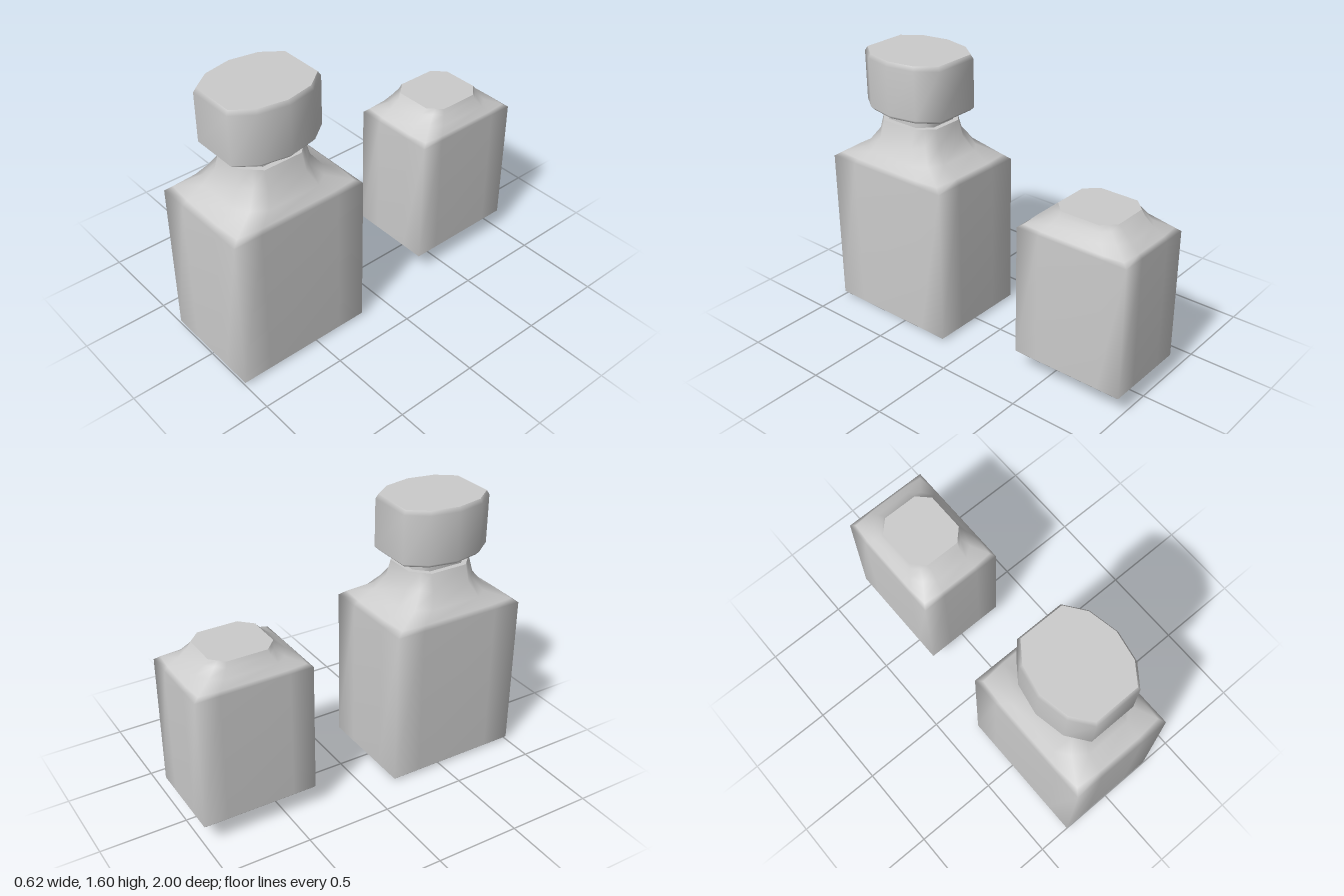
import * as THREE from 'three';

const material = new THREE.MeshStandardMaterial({ color: 0xcccccc });

// Rectangle ring; k = 0 keeps the corners sharp, k = 1 chamfers them by c
function boxRing(y, hx, hz, c, k) {
  const ring = [];
  const m = k * c / 2;
  for (const [sx, sz] of [[1, 1], [-1, 1], [-1, -1], [1, -1]]) {
    const corner = [[hx, hz - c], [hx - m, hz - m], [hx - c, hz]];
    if (sx * sz < 0) corner.reverse();
    for (const [x, z] of corner) ring.push([sx * x, y, sz * z]);
  }
  return ring;
}

// Ten-sided ring with flat front and back ends and bowed sides
function capRing(y, s) {
  const half = [[0.255, 0], [0.222, 0.17], [0.138, 0.283], [-0.138, 0.283], [-0.222, 0.17]];
  return [...half, ...half.map(([x, z]) => [-x, -z])].map(([x, z]) => [x * s, y, z * s]);
}

// Smooth skin through the rings, closed by flat ends
function loft(name, rings) {
  const n = rings[0].length;
  const pos = rings.flat(2);
  const index = [];
  for (let r = 0; r < rings.length - 1; r++) {
    for (let i = 0; i < n; i++) {
      const a = r * n + i, b = r * n + (i + 1) % n;
      index.push(a, a + n, b, b, a + n, b + n);
    }
  }
  [rings[0], rings[rings.length - 1]].forEach((ring, top) => {
    const start = pos.length / 3;
    pos.push(...ring.flat(), 0, ring[0][1], 0);
    for (let i = 0; i < n; i++) {
      const a = start + i, b = start + (i + 1) % n;
      index.push(start + n, top ? b : a, top ? a : b);
    }
  });
  const geometry = new THREE.BufferGeometry();
  geometry.setAttribute('position', new THREE.Float32BufferAttribute(pos, 3));
  geometry.setIndex(index);
  geometry.computeVertexNormals();
  const mesh = new THREE.Mesh(geometry, material);
  mesh.name = name;
  return mesh;
}

const boxLoft = (name, sections) => loft(name, sections.map((s) => boxRing(...s)));

export function createModel() {
  const model = new THREE.Group();
  model.name = 'bottleSet';

  const bottle = new THREE.Group();
  bottle.name = 'bottle';
  bottle.position.z = 0.588;

  // Rectangular body narrowing to an octagonal neck
  bottle.add(boxLoft('bottleBody', [
    [0, 0.29, 0.392, 0.16, 0],
    [0.02, 0.31, 0.412, 0.17, 0],
    [0.95, 0.31, 0.412, 0.17, 0],
    [0.975, 0.295, 0.385, 0.16, 0.15],
    [1.03, 0.26, 0.29, 0.13, 0.85],
    [1.11, 0.21, 0.23, 0.11, 1],
    [1.21, 0.18, 0.205, 0.09, 1],
  ]));
  bottle.add(boxLoft('neck', [
    [1.2, 0.15, 0.175, 0.07, 1],
    [1.275, 0.15, 0.175, 0.07, 1],
  ]));
  bottle.add(boxLoft('neckRing', [
    [1.245, 0.167, 0.19, 0.075, 1],
    [1.265, 0.167, 0.19, 0.075, 1],
  ]));

  // Cap with bevelled rims
  bottle.add(loft('cap', [
    capRing(1.27, 0.93), capRing(1.29, 1), capRing(1.575, 1), capRing(1.6, 0.95),
  ]));

  // Filling, standing behind the bottle and raised to its height inside it
  const filling = boxLoft('filling', [
    [0.115, 0.24, 0.325, 0.13, 0],
    [0.13, 0.255, 0.34, 0.14, 0],
    [0.905, 0.255, 0.34, 0.14, 0],
    [0.925, 0.243, 0.32, 0.13, 0.15],
    [0.965, 0.215, 0.265, 0.11, 0.85],
    [1.01, 0.187, 0.215, 0.09, 1],
    [1.04, 0.175, 0.187, 0.07, 1],
  ]);
  filling.position.z = -0.66;

  model.add(bottle, filling);
  return model;
}
